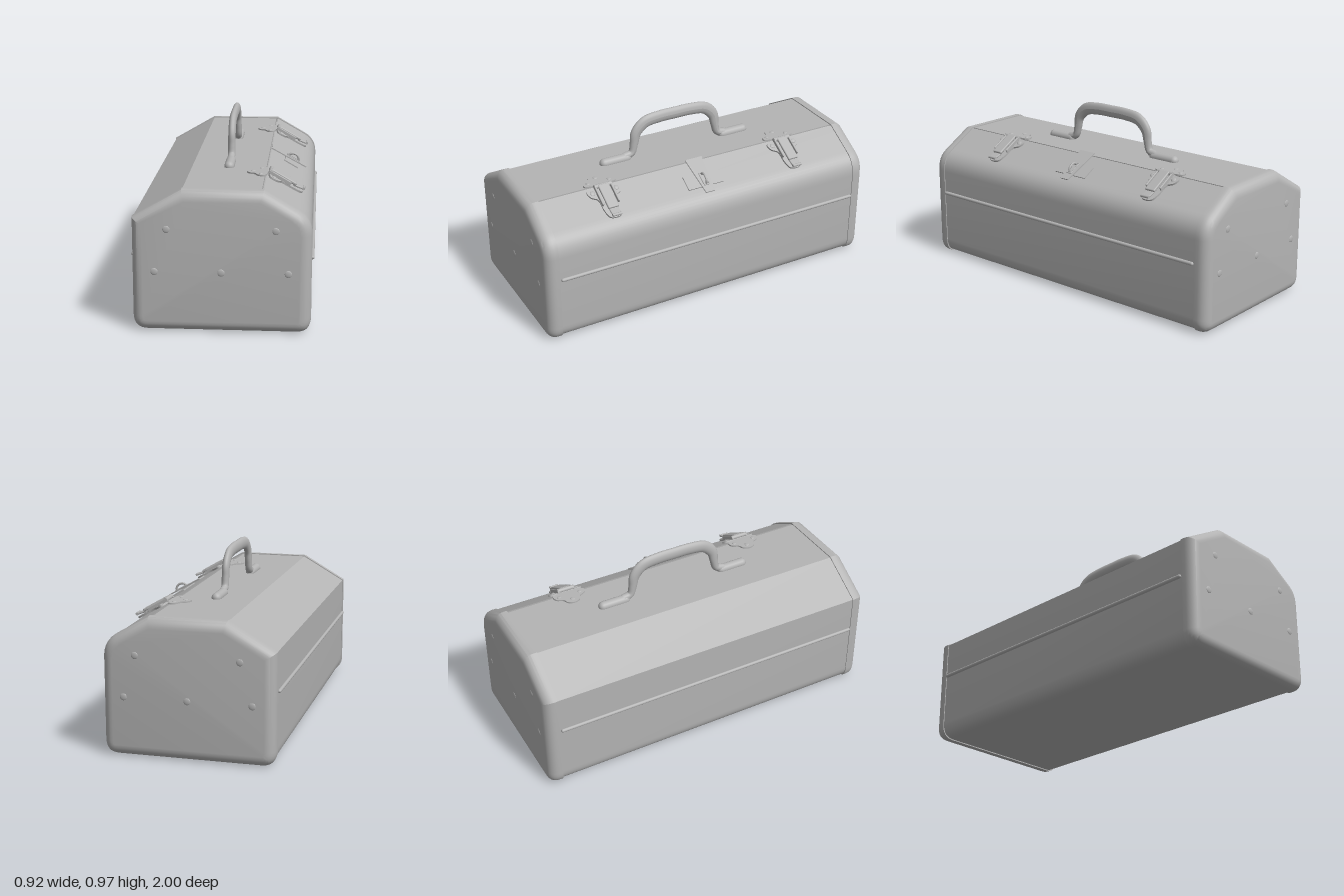
import * as THREE from 'three';
import { toCreasedNormals } from 'three/addons/utils/BufferGeometryUtils.js';
import { RoundedBoxGeometry } from 'three/addons/geometries/RoundedBoxGeometry.js';

const steel = new THREE.MeshStandardMaterial({ color: 0xb4b4b4 });
steel.name = 'grey steel';

function add(parent, name, geometry, x = 0, y = 0, z = 0) {
  const mesh = new THREE.Mesh(geometry, steel);
  mesh.name = name;
  mesh.position.set(x, y, z);
  parent.add(mesh);
  return mesh;
}

// Cross-section of the box, with an optional groove where the two lids meet
function profile(groove) {
  const s = new THREE.Shape();
  s.moveTo(-0.375, 0);
  s.lineTo(0.375, 0);
  s.quadraticCurveTo(0.45, 0, 0.45, 0.08);
  s.lineTo(0.45, 0.51);
  s.quadraticCurveTo(0.45, 0.595, 0.38, 0.634);
  s.lineTo(0.21, 0.732);
  if (groove) {
    s.lineTo(0.21, 0.71);
    s.lineTo(0.2, 0.71);
    s.lineTo(0.2, 0.732);
  }
  s.lineTo(-0.2, 0.732);
  s.lineTo(-0.45, 0.587);
  s.lineTo(-0.45, 0.08);
  s.quadraticCurveTo(-0.45, 0, -0.375, 0);
  return s;
}

// Pressed end cap: outer rim rounded, inner side flattened
function capGeometry() {
  const r = 0.055;
  const geo = new THREE.ExtrudeGeometry(profile(false), {
    depth: 0.022, curveSegments: 8, bevelEnabled: true,
    bevelSize: r, bevelThickness: r, bevelOffset: -r, bevelSegments: 6,
  });
  const p = geo.attributes.position;
  for (let i = 0; i < p.count; i++) p.setZ(i, Math.max(0, p.getZ(i)));
  return toCreasedNormals(geo, 0.5);
}

// Flat plate outlined in (x, z), lying on y = 0
function plate(points, thickness, smooth) {
  const v = points.map(([x, z]) => new THREE.Vector2(x, z));
  const outline = smooth
    ? new THREE.CatmullRomCurve3(v.map((q) => new THREE.Vector3(q.x, q.y, 0)), true)
      .getPoints(40).slice(0, 40).map((q) => new THREE.Vector2(q.x, q.y))
    : v;
  const geo = new THREE.ExtrudeGeometry(new THREE.Shape(outline), { depth: thickness, bevelEnabled: false });
  geo.rotateX(-Math.PI / 2);
  return toCreasedNormals(geo, 0.5);
}

// Group whose local x runs down the sloping front lid
function slopeGroup(name, z) {
  const g = new THREE.Group();
  g.name = name;
  g.position.set(0.21, 0.73, z);
  g.rotation.z = -Math.PI / 6;
  return g;
}

function rivet(parent, x, y, z, radius, height) {
  const geo = new THREE.SphereGeometry(radius, 16, 6, 0, Math.PI * 2, 0, Math.PI / 2);
  geo.scale(1, height / radius, 1);
  return add(parent, 'rivet', geo, x, y, z);
}

function createLatch(z) {
  const latch = new THREE.Group();
  latch.name = 'latch';
  // Lobed catch plate on the flat top
  add(latch, 'catchPlate', plate([
    [0.2, -0.09], [0.2, 0.09], [0.165, 0.085], [0.145, 0.05], [0.115, 0.035],
    [0.102, 0], [0.115, -0.035], [0.145, -0.05], [0.165, -0.085],
  ], 0.008, true), 0, 0.73, z);
  rivet(latch, 0.135, 0.738, z, 0.014, 0.004);
  for (const s of [-1, 1]) rivet(latch, 0.178, 0.738, z + s * 0.062, 0.012, 0.004);
  // Lever assembly on the slope
  const g = slopeGroup('lever', z);
  add(g, 'basePlate', plate([
    [0.012, -0.08], [0.03, -0.098], [0.065, -0.085], [0.085, -0.055], [0.15, -0.05],
    [0.2, -0.035], [0.21, 0], [0.2, 0.035], [0.15, 0.05], [0.085, 0.055],
    [0.065, 0.085], [0.03, 0.098], [0.012, 0.08],
  ], 0.01, true));
  for (const s of [-1, 1]) {
    rivet(g, 0.04, 0.01, s * 0.07, 0.014, 0.005);
    add(g, 'sideArm', new RoundedBoxGeometry(0.13, 0.022, 0.01, 2, 0.004), 0.065, 0.018, s * 0.046);
  }
  add(g, 'leverArm', new RoundedBoxGeometry(0.15, 0.016, 0.062, 3, 0.006), 0.085, 0.026, 0);
  const pin = add(g, 'hingePin', new THREE.CylinderGeometry(0.012, 0.012, 0.1, 16), 0.012, 0.02, 0);
  pin.rotation.x = Math.PI / 2;
  const tab = add(g, 'thumbTab', new RoundedBoxGeometry(0.06, 0.01, 0.052, 3, 0.004), 0.178, 0.021, 0);
  tab.rotation.z = 0.15;
  const curl = add(g, 'thumbCurl', new THREE.CylinderGeometry(0.008, 0.008, 0.052, 12), 0.203, 0.026, 0);
  curl.rotation.x = Math.PI / 2;
  latch.add(g);
  return latch;
}

function createHasp() {
  const g = slopeGroup('hasp', 0);
  add(g, 'staplePlate', plate([[0.085, -0.108], [0.17, -0.108], [0.17, 0.108], [0.085, 0.108]], 0.006));
  add(g, 'haspStrap', plate([[-0.008, -0.052], [0.215, -0.027], [0.215, 0.027], [-0.008, 0.052]], 0.006), 0, 0.011, 0);
  // Padlock staple
  const loop = add(g, 'staple', new THREE.TorusGeometry(0.026, 0.006, 8, 20, Math.PI), 0.13, 0.016, 0);
  loop.scale.x = 1.2;
  for (const s of [-1, 1]) {
    add(g, 'slotRim', new RoundedBoxGeometry(0.08, 0.006, 0.006, 1, 0.002), 0.13, 0.018, s * 0.015);
    add(g, 'slotEnd', new RoundedBoxGeometry(0.006, 0.006, 0.034, 1, 0.002), 0.13 + s * 0.039, 0.018, 0);
  }
  return g;
}

function createHandle() {
  const handle = new THREE.Group();
  handle.name = 'handle';
  // Flattened carrying bow
  const half = [[0.315, 0.742], [0.272, 0.755], [0.256, 0.81], [0.243, 0.87], [0.19, 0.921], [0.1, 0.936]];
  const points = [...half, [0, 0.937], ...half.slice().reverse().map(([z, y]) => [-z, y])];
  const path = new THREE.CatmullRomCurve3(points.map(([z, y]) => new THREE.Vector3(0, y, z)));
  const bow = new THREE.TubeGeometry(path, 72, 0.035, 16);
  // Thin the bow toward its feet
  const p = bow.attributes.position;
  for (let i = 0; i <= 72; i++) {
    const c = path.getPointAt(i / 72);
    const k = THREE.MathUtils.lerp(0.6, 1, THREE.MathUtils.smoothstep(c.y, 0.75, 0.93));
    for (let j = 0; j <= 16; j++) {
      const n = i * 17 + j;
      p.setXYZ(n, p.getX(n) * 0.58, c.y + (p.getY(n) - c.y) * k, c.z + (p.getZ(n) - c.z) * k);
    }
  }
  bow.computeVertexNormals();
  add(handle, 'handleBow', bow);
  for (const s of [-1, 1]) {
    const foot = new THREE.CapsuleGeometry(0.027, 0.135, 6, 16);
    foot.rotateX(Math.PI / 2);
    add(handle, 'handleFoot', foot, 0, 0.731, s * 0.372);
  }
  return handle;
}

export function createModel() {
  const model = new THREE.Group();
  model.name = 'toolbox';

  // Folded sheet body between the caps
  const body = new THREE.ExtrudeGeometry(profile(true), { depth: 1.85, curveSegments: 8, bevelEnabled: false });
  body.translate(0, -0.366, -0.925);
  body.scale(0.99, 0.985, 1);
  add(model, 'body', toCreasedNormals(body, 0.5), 0, 0.366, 0);

  // End caps with rivets
  for (const s of [-1, 1]) {
    const cap = new THREE.Group();
    cap.name = 'endCap';
    const geo = capGeometry();
    if (s < 0) {
      // Mirror through z and restore the corner order
      geo.scale(1, 1, -1);
      for (const a of [geo.attributes.position, geo.attributes.normal]) {
        for (let i = 0; i < a.count; i += 3) {
          const q = [a.getX(i), a.getY(i), a.getZ(i)];
          a.setXYZ(i, a.getX(i + 1), a.getY(i + 1), a.getZ(i + 1));
          a.setXYZ(i + 1, ...q);
        }
      }
    }
    add(cap, 'capShell', geo, 0, 0, s * 0.919);
    for (const [x, y] of [[-0.272, 0.537], [0.272, 0.537], [-0.335, 0.317], [0, 0.317], [0.335, 0.317]]) {
      rivet(cap, x, y, s * 0.995, 0.019, 0.005).rotation.x = s * Math.PI / 2;
    }
    model.add(cap);
  }

  // Stiffening bead along each side
  for (const s of [-1, 1]) {
    const bead = new THREE.CapsuleGeometry(0.01, 1.81, 4, 12);
    bead.rotateX(Math.PI / 2);
    add(model, 'sideBead', bead, s * 0.452, 0.38, 0);
  }

  model.add(createHandle(), createHasp(), createLatch(-0.56), createLatch(0.56));
  return model;
}
